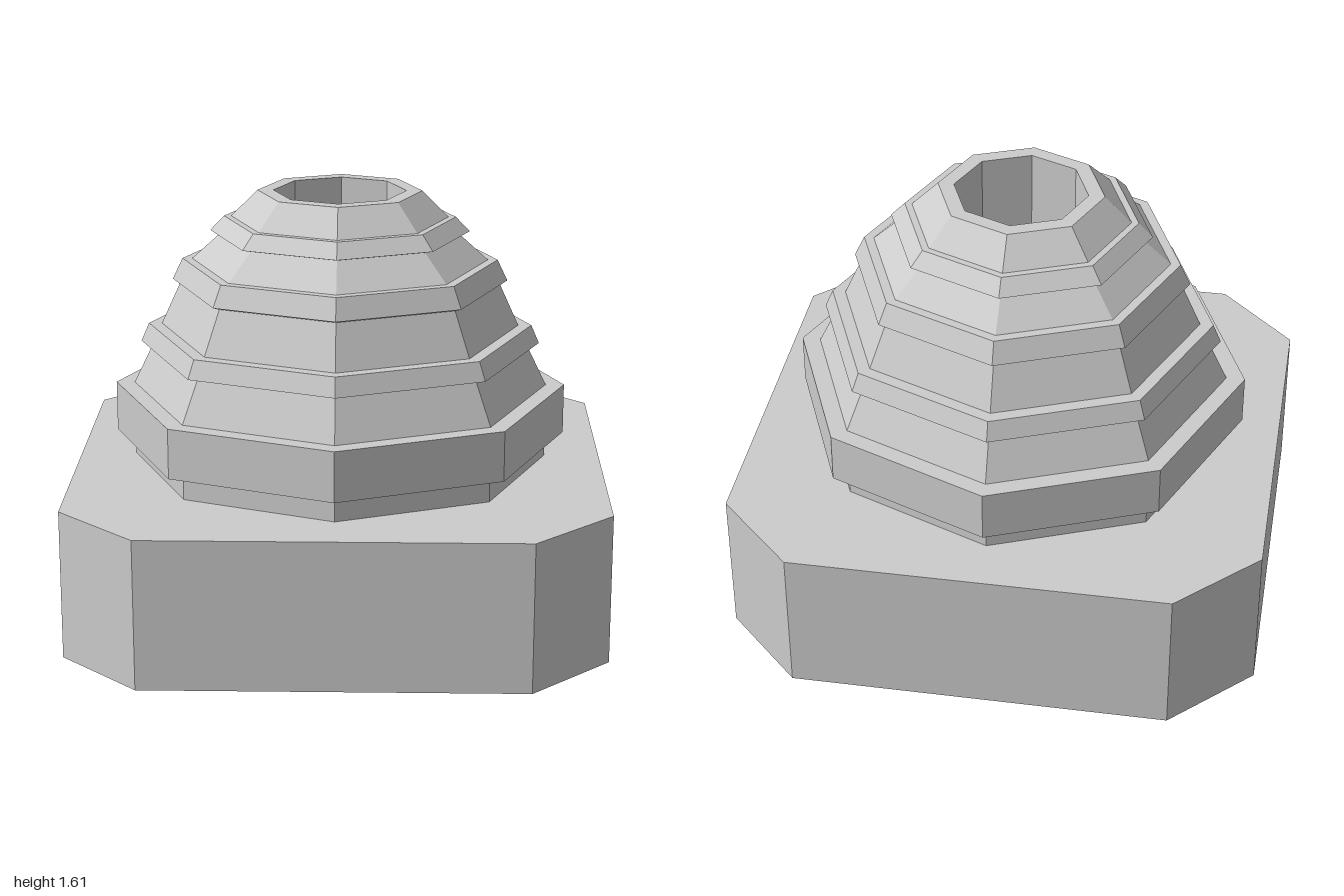
import * as THREE from 'three';

const material = new THREE.MeshStandardMaterial({ color: 0xcccccc, flatShading: true });

// Eight-sided turned part from [radius, height] pairs, with a corner on each axis
function turned(name, profile) {
  const points = profile.map(([r, y]) => new THREE.Vector2(r, y));
  const geometry = new THREE.LatheGeometry(points, 8).toNonIndexed();
  geometry.computeVertexNormals();
  const mesh = new THREE.Mesh(geometry, material);
  mesh.name = name;
  return mesh;
}

export function createModel() {
  const group = new THREE.Group();
  group.name = 'domedTurret';

  // Square plinth with cut corners
  const s = 1, c = 0.705;
  const outline = new THREE.Shape(
    [[-c, -s], [c, -s], [s, -c], [s, c], [c, s], [-c, s], [-s, c], [-s, -c]]
      .map(([x, y]) => new THREE.Vector2(x, y)));
  const plinthGeometry = new THREE.ExtrudeGeometry(outline, { depth: 0.565, bevelEnabled: false });
  plinthGeometry.rotateX(-Math.PI / 2);
  const plinth = new THREE.Mesh(plinthGeometry, material);
  plinth.name = 'plinth';
  group.add(plinth);

  // Neck and overhanging collar
  group.add(turned('neck', [[0.79, 0.565], [0.79, 0.66]]));
  group.add(turned('collar', [[0.7, 0.66], [0.86, 0.66], [0.86, 0.85], [0, 0.85]]));

  // Stepped dome with three overhanging bands and an open shaft
  group.add(turned('dome', [
    [0.79, 0.85], [0.715, 1.005],
    [0.76, 1.015], [0.73, 1.085], [0.68, 1.085], [0.605, 1.25],
    [0.635, 1.26], [0.597, 1.34], [0.56, 1.34], [0.45, 1.44],
    [0.49, 1.45], [0.437, 1.505], [0.41, 1.505], [0.31, 1.605],
    [0.25, 1.605], [0.25, 0.85],
  ]));

  return group;
}
